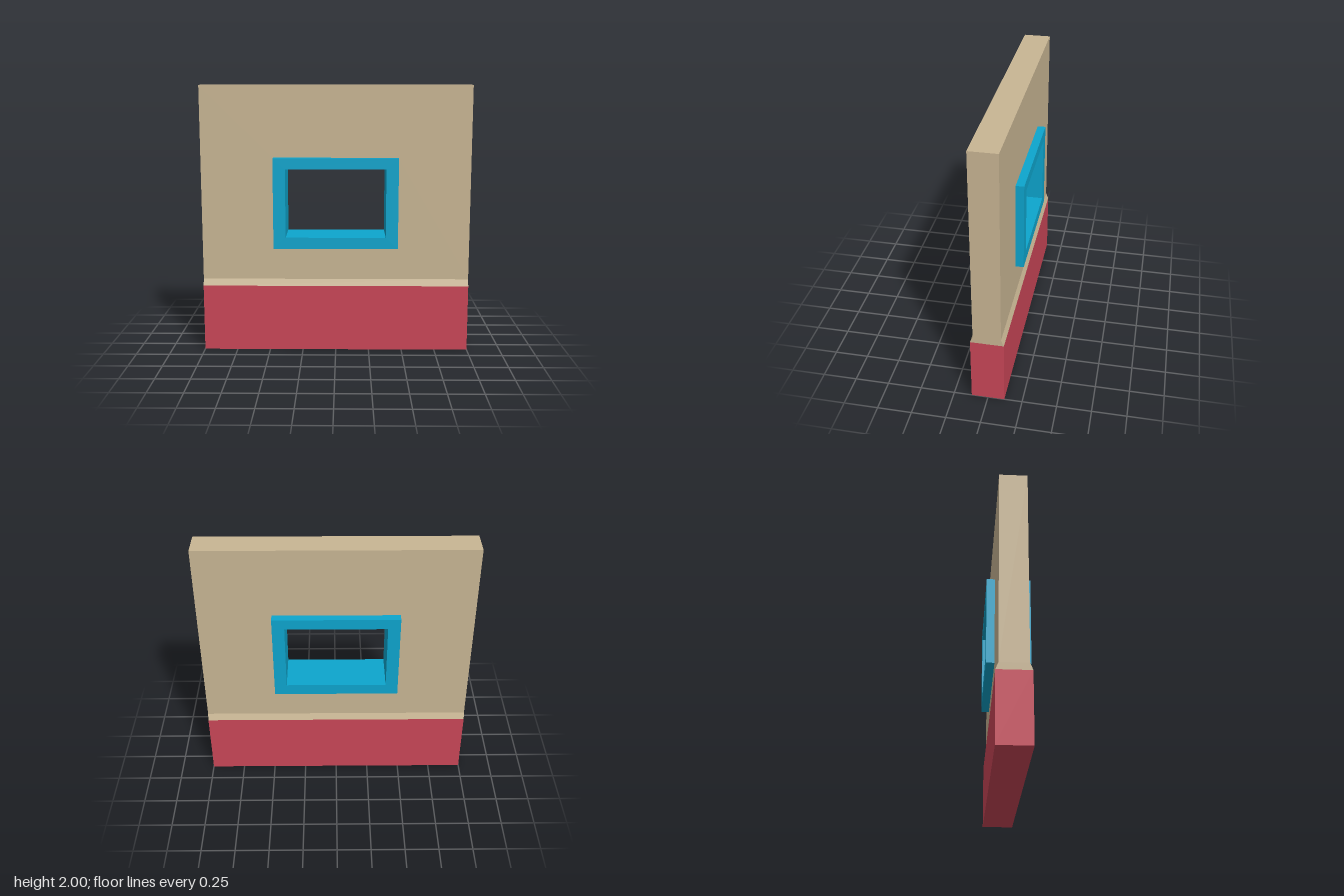
import * as THREE from 'three';

const material = (name, color) => {
  const m = new THREE.MeshStandardMaterial({ color });
  m.name = name;
  return m;
};

const polygon = (points, Type = THREE.Shape) =>
  new Type(points.map(([x, y]) => new THREE.Vector2(x, y)));

const rect = (halfWidth, bottom, top) => [
  [-halfWidth, bottom], [halfWidth, bottom], [halfWidth, top], [-halfWidth, top],
];

// Extrudes a shape symmetrically about z = 0
function slab(outline, hole, depth) {
  const shape = polygon(outline);
  if (hole) shape.holes.push(polygon([...hole].reverse(), THREE.Path));
  const geometry = new THREE.ExtrudeGeometry(shape, { depth, bevelEnabled: false });
  return geometry.translate(0, 0, -depth / 2);
}

export function createModel() {
  const model = new THREE.Group();
  model.name = 'windowWall';

  const tan = material('tan plaster', 0xc8b593);
  const red = material('red base', 0xc94657);
  const blue = material('blue frame', 0x0da5cd);

  const add = (name, geometry, mat) => {
    const mesh = new THREE.Mesh(geometry, mat);
    mesh.name = name;
    model.add(mesh);
  };

  const frameOuter = rect(0.463, 0.795, 1.47);
  const frameInner = rect(0.372, 0.88, 1.39);

  // Upper wall panel, cut out where the window frame passes through
  add('wallPanel', slab(rect(1, 0.55, 2), frameOuter, 0.2), tan);

  // Sloped ledge between the thin wall and the thicker base
  const ledge = slab([[-0.12, 0.5], [0.12, 0.5], [0.1, 0.55], [-0.1, 0.55]], null, 2);
  add('slopedLedge', ledge.rotateY(Math.PI / 2), tan);

  // Thicker base band
  add('base', new THREE.BoxGeometry(2, 0.5, 0.24).translate(0, 0.25, 0), red);

  // Window frame, standing proud on both faces and lining the opening
  add('windowFrame', slab(frameOuter, frameInner, 0.32), blue);

  return model;
}
